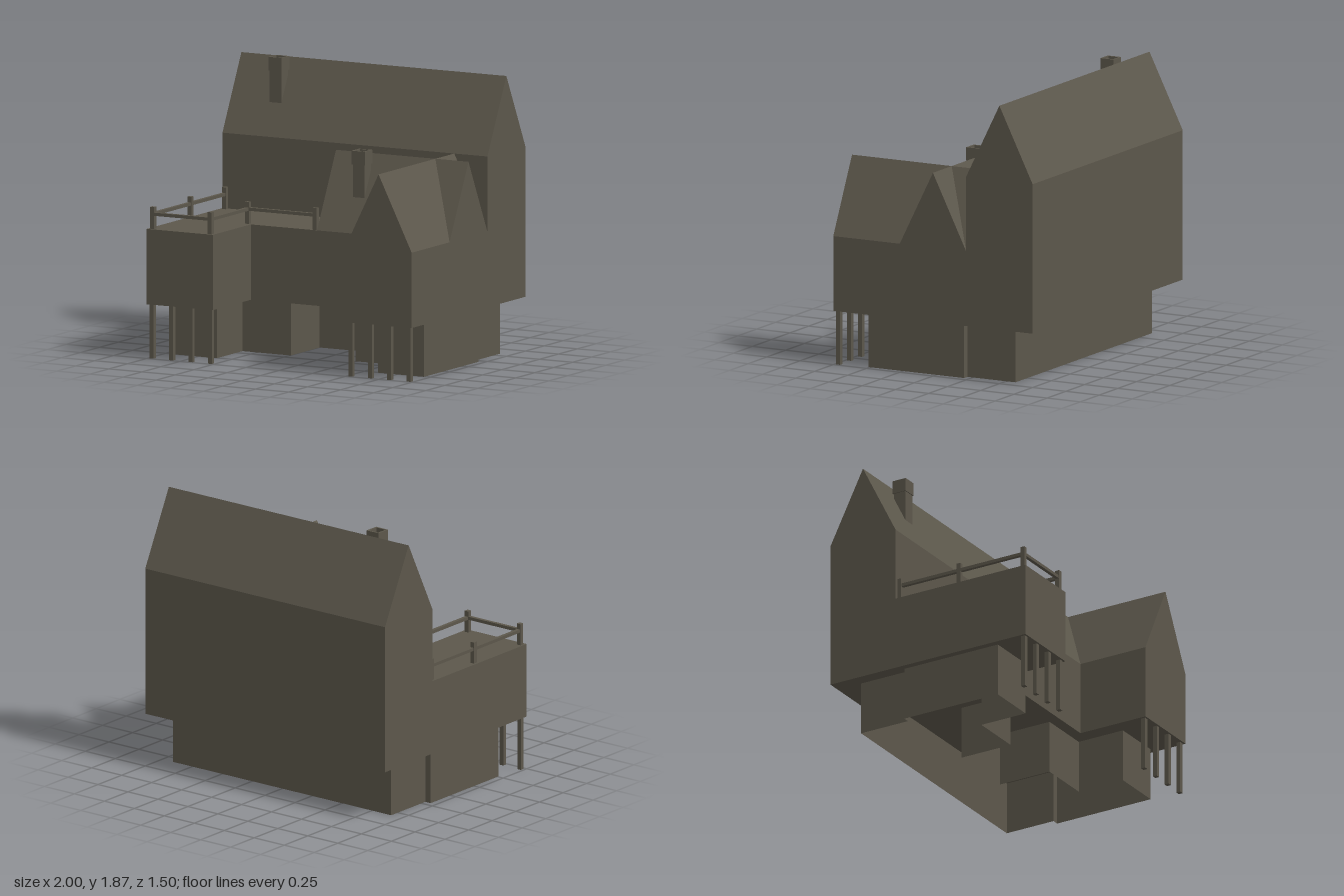
import * as THREE from 'three';

export function createModel() {
  const model = new THREE.Group();
  model.name = 'house';
  // Double sided because the ground floor walls are an open shell
  const plaster = new THREE.MeshStandardMaterial({ color: 0x5c574b, side: THREE.DoubleSide });
  plaster.name = 'weathered plaster';

  const add = (name, geometry, parent = model) => {
    const mesh = new THREE.Mesh(geometry, plaster);
    mesh.name = name;
    parent.add(mesh);
    return mesh;
  };
  // Box given by its minimum and maximum corners
  const box = (name, [x0, y0, z0], [x1, y1, z1], parent) =>
    add(name, new THREE.BoxGeometry(x1 - x0, y1 - y0, z1 - z0), parent)
      .position.set((x0 + x1) / 2, (y0 + y1) / 2, (z0 + z1) / 2);
  const group = (name) => {
    const g = new THREE.Group();
    g.name = name;
    model.add(g);
    return g;
  };

  const FLOOR = 0.36, EAVE = 0.86, HALF = 0.25, RISE = 0.5;

  // Gabled block: a house-shaped section extruded along z
  const gabled = (name, eave, length) => {
    const section = new THREE.Shape([
      new THREE.Vector2(-HALF, FLOOR), new THREE.Vector2(HALF, FLOOR),
      new THREE.Vector2(HALF, eave), new THREE.Vector2(0, eave + RISE),
      new THREE.Vector2(-HALF, eave),
    ]);
    return add(name, new THREE.ExtrudeGeometry(section, { depth: length, bevelEnabled: false }));
  };

  // Upper storeys
  const hall = gabled('tallBackHall', EAVE + 0.5, 2);
  hall.rotation.y = Math.PI / 2;
  hall.position.set(-1, 0, -0.5);
  const cross = gabled('middleGable', EAVE, 1);
  cross.rotation.y = Math.PI / 2;
  gabled('leftWing', EAVE, 1).position.set(0.75, 0, -0.25);
  box('terraceMiddle', [-1, FLOOR, -0.25], [0, EAVE, 0.25]);
  box('terraceWing', [-1, FLOOR, 0.25], [-0.5, EAVE, 0.75]);

  // Ground floor: open walls around a mirrored outline
  const half = [[0.91, -0.57], [0.91, -0.21], [0.955, -0.21], [0.955, 0.51],
    [0.608, 0.51], [0.608, 0.17], [0.243, 0.17], [0.243, -0.21]];
  const outline = [...half, ...half.map(([x, z]) => [-x, z]).reverse()];
  const corners = [];
  outline.forEach(([px, pz], i) => {
    const [qx, qz] = outline[(i + 1) % outline.length];
    corners.push(qx, 0, qz, px, 0, pz, px, FLOOR, pz);
    corners.push(qx, 0, qz, px, FLOOR, pz, qx, FLOOR, qz);
  });
  const walls = new THREE.BufferGeometry();
  walls.setAttribute('position', new THREE.Float32BufferAttribute(corners, 3));
  walls.computeVertexNormals();
  add('groundFloorWalls', walls);

  // Stilts below the front of both wings
  const stilts = group('stilts');
  for (const side of [-1, 1]) {
    for (const offset of [0.53, 0.677, 0.823, 0.97]) {
      const x = side * offset;
      box('stilt', [x - 0.015, 0, 0.707], [x + 0.015, FLOOR, 0.737], stilts);
    }
  }

  // Terrace railing
  const railing = group('railing');
  const posts = [[-0.97, -0.23], [-0.97, 0.225], [-0.97, 0.717],
    [-0.535, 0.717], [-0.535, 0.225], [-0.025, 0.225]];
  posts.forEach(([x, z], i) => {
    box('railPost', [x - 0.015, EAVE, z - 0.015], [x + 0.015, 1.005, z + 0.015], railing);
    if (i === 0) return;
    const [px, pz] = posts[i - 1];
    const r = 0.012;
    box('handrail', [Math.min(x, px) - r, 0.947, Math.min(z, pz) - r],
      [Math.max(x, px) + r, 0.968, Math.max(z, pz) + r], railing);
  });

  // Chimneys: square shaft with a hollow, slightly wider cap
  const square = (s) => [[-s, -s], [s, -s], [s, s], [-s, s]].map(([x, y]) => new THREE.Vector2(x, y));
  const capShape = new THREE.Shape(square(0.05));
  capShape.holes.push(new THREE.Path(square(0.038).reverse()));
  const capGeometry = new THREE.ExtrudeGeometry(capShape, { depth: 0.09, bevelEnabled: false });
  capGeometry.rotateX(-Math.PI / 2);
  for (const [x, top, z] of [[-0.66, 1.872, -0.4], [0.25, 1.39, 0.095]]) {
    const chimney = group('chimney');
    box('chimneyShaft', [x - 0.044, top - 0.32, z - 0.044], [x + 0.044, top - 0.085, z + 0.044], chimney);
    add('chimneyCap', capGeometry, chimney).position.set(x, top - 0.09, z);
  }

  return model;
}
